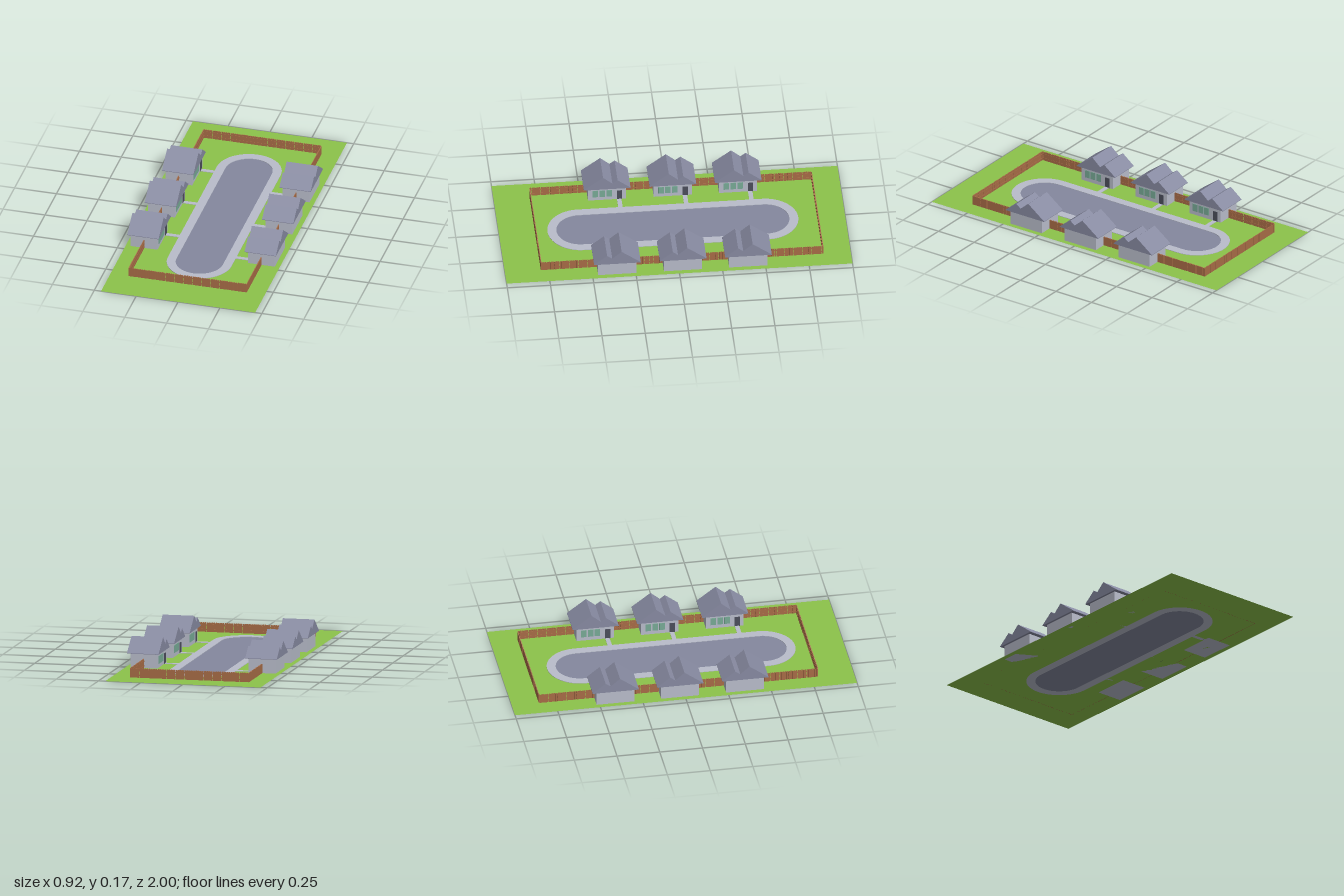
import * as THREE from 'three';
import { mergeGeometries } from 'three/addons/utils/BufferGeometryUtils.js';

const mat = (name, color, side = THREE.FrontSide) => {
  const m = new THREE.MeshStandardMaterial({ color, side });
  m.name = name;
  return m;
};

export function createModel() {
  const grass = mat('grass green', 0x8cc34a, THREE.DoubleSide);
  const asphalt = mat('asphalt grey', 0x85889e, THREE.DoubleSide);
  const pale = mat('pale concrete', 0xb9bdcb);
  const roofGrey = mat('roof grey', 0x888ba2);
  const wood = mat('fence wood', 0xa96d47);
  const glass = mat('green glass', 0x78ab97);
  const doorMat = mat('dark door', 0x4c4e5c);

  const model = new THREE.Group();
  model.name = 'neighbourhood';
  const add = (parent, name, geo, material, x = 0, y = 0, z = 0) => {
    const mesh = new THREE.Mesh(geo, material);
    mesh.name = name;
    mesh.position.set(x, y, z);
    parent.add(mesh);
    return mesh;
  };
  const box = (w, h, d) => new THREE.BoxGeometry(w, h, d);

  // Rounded loop: two half circles joined by straights, lying along z
  const loop = (r, Type = THREE.Shape) => {
    const s = new Type();
    const zc = 0.005, half = 0.535;
    s.absarc(0, zc + half, r, 0, Math.PI, false);
    s.absarc(0, zc - half, r, Math.PI, Math.PI * 2, false);
    s.closePath();
    return s;
  };

  // Lawn, pavement ring and road
  const lawn = new THREE.Shape([
    new THREE.Vector2(-0.46, -1), new THREE.Vector2(0.46, -1),
    new THREE.Vector2(0.46, 1), new THREE.Vector2(-0.46, 1),
  ]);
  lawn.holes.push(loop(0.19, THREE.Path));
  add(model, 'lawn', new THREE.ShapeGeometry(lawn, 16).rotateX(-Math.PI / 2), grass);
  const ring = loop(0.19);
  ring.holes.push(loop(0.138, THREE.Path));
  add(model, 'pavement', new THREE.ExtrudeGeometry(ring, {
    depth: 0.003, bevelEnabled: false, curveSegments: 16,
  }).rotateX(-Math.PI / 2), pale);
  add(model, 'road', new THREE.ShapeGeometry(loop(0.138), 16).rotateX(-Math.PI / 2), asphalt);

  // House facing +x, with a large and a small gable side by side
  const roofProfile = new THREE.Shape(
    [[-0.135, 0.085], [0.135, 0.085], [0.135, 0.088], [0.024, 0.17], [-0.03, 0.124],
      [-0.06, 0.146], [-0.135, 0.088]].map(([z, y]) => new THREE.Vector2(z, y)));
  const roofGeo = new THREE.ExtrudeGeometry(roofProfile, { depth: 0.187, bevelEnabled: false })
    .rotateY(-Math.PI / 2).translate(0.0935, 0, 0);
  const house = (x, z, turn) => {
    const g = new THREE.Group();
    g.name = 'house';
    add(g, 'walls', box(0.16, 0.086, 0.22), pale, 0, 0.043, 0);
    add(g, 'roof', roofGeo, roofGrey);
    add(g, 'door', box(0.004, 0.062, 0.03), doorMat, 0.081, 0.031, -0.072);
    for (const wz of [-0.012, 0.028, 0.068])
      add(g, 'window', box(0.004, 0.045, 0.032), glass, 0.081, 0.046, wz);
    add(g, 'path', box(0.095, 0.003, 0.026), pale, 0.1225, 0.0015, -0.07);
    g.position.set(x, 0, z);
    g.rotation.y = turn;
    model.add(g);
  };
  const leftZ = [-0.4075, -0.03, 0.35], rightZ = [-0.4, -0.0225, 0.3575];
  leftZ.forEach(z => house(-0.351, z, 0));
  rightZ.forEach(z => house(0.351, z, Math.PI));

  // Fence run: pickets with clipped tops in panels of five, on two rails
  const fence = (x0, z0, x1, z1) => {
    const length = Math.hypot(x1 - x0, z1 - z0);
    const count = Math.max(1, Math.round(length / 0.0108));
    const step = length / count;
    const parts = [];
    for (let i = 0; i < count; i++) {
      const a = i * step + (i % 5 === 0 ? 0.0015 : 0.0002);
      const b = (i + 1) * step - (i % 5 === 4 ? 0.0015 : 0.0002);
      const c = 0.0025;
      const s = new THREE.Shape([[a, 0], [b, 0], [b, 0.051], [b - c, 0.055], [a + c, 0.055], [a, 0.051]]
        .map(([u, v]) => new THREE.Vector2(u, v)));
      parts.push(new THREE.ExtrudeGeometry(s, { depth: 0.004, bevelEnabled: false }).translate(0, 0, -0.002));
    }
    const g = new THREE.Group();
    g.name = 'fence';
    add(g, 'pickets', mergeGeometries(parts), wood);
    for (const y of [0.014, 0.04])
      add(g, 'rail', box(length, 0.006, 0.003), wood, length / 2, y, -0.002);
    g.position.set(x0, 0, z0);
    g.rotation.y = Math.atan2(-(z1 - z0), x1 - x0);
    model.add(g);
  };
  const fx = 0.351, back = -0.84, front = 0.79;
  fence(-fx, front, fx, front);
  fence(fx, back, -fx, back);
  // Side runs fill the gaps between houses
  for (const [x, zs] of [[-fx, leftZ], [fx, rightZ]]) {
    const stops = [back, ...zs.flatMap(z => [z - 0.108, z + 0.108]), front];
    for (let i = 0; i < stops.length; i += 2) {
      if (x > 0) fence(x, stops[i + 1], x, stops[i]);
      else fence(x, stops[i], x, stops[i + 1]);
    }
  }
  return model;
}
